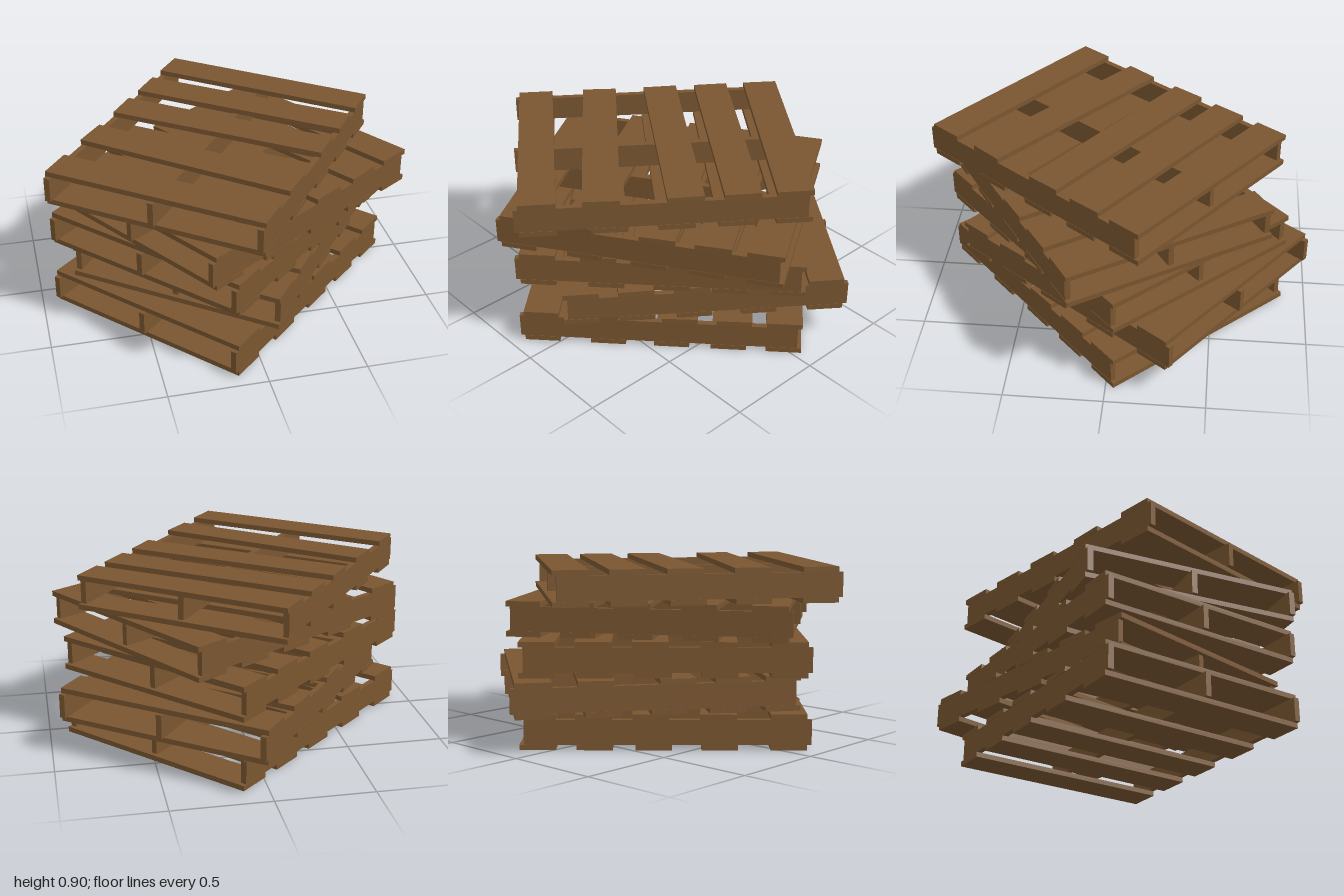
import * as THREE from 'three';

const wood = new THREE.MeshStandardMaterial({ color: 0x7a5630, flatShading: true });

const PLANK_L = 1.144, DEPTH = 1.418, PLANK_W = 0.18, PLANK_T = 0.027;
const HEIGHT = 0.1795, STRINGER_T = 0.03;

// Start of each plank from the front edge, as a fraction of the depth, at its left and right ends
const topPlanks = [[0, 0], [0.215, 0.245], [0.5, 0.48], [0.694, 0.678], [0.873, 0.873]];
const bottomPlanks = [[0, 0], [0.24, 0.24], [0.47, 0.47], [0.675, 0.675], [0.873, 0.873]];

function addBox(parent, name, w, h, d, x, y, z, turn = 0) {
  const mesh = new THREE.Mesh(new THREE.BoxGeometry(w, h, d), wood);
  mesh.name = name;
  mesh.position.set(x, y, z);
  mesh.rotation.y = turn;
  parent.add(mesh);
}

function addDeck(parent, name, planks, y) {
  for (const [a, b] of planks) {
    const z = DEPTH / 2 - (DEPTH * (a + b)) / 2 - PLANK_W / 2;
    // slight skew of loosely nailed planks
    const turn = Math.atan2(DEPTH * (a - b), PLANK_L);
    addBox(parent, name, PLANK_L, PLANK_T, PLANK_W, 0, y, z, turn);
  }
}

function makePallet() {
  const pallet = new THREE.Group();
  addDeck(pallet, 'bottomPlank', bottomPlanks, PLANK_T / 2);
  addDeck(pallet, 'topPlank', topPlanks, HEIGHT - PLANK_T / 2);
  // three upright runners, poking out a little at the front
  for (const side of [-1, 0, 1]) {
    addBox(pallet, 'stringer', STRINGER_T, HEIGHT - 2 * PLANK_T, DEPTH, side * 0.555, HEIGHT / 2, 0.022);
  }
  return pallet;
}

export function createModel() {
  const model = new THREE.Group();
  model.name = 'palletStack';
  // x, z and turn in degrees of each pallet, from the ground up
  const layers = [
    [-0.006, 0.025, 47],
    [0.057, -0.072, 217],
    [-0.006, 0.025, 47],
    [0.036, 0.078, 57],
    [-0.059, 0.072, 37],
  ];
  layers.forEach(([x, z, degrees], i) => {
    const pallet = makePallet();
    pallet.name = 'pallet' + (i + 1);
    pallet.position.set(x, i * HEIGHT, z);
    pallet.rotation.y = -THREE.MathUtils.degToRad(degrees);
    model.add(pallet);
  });
  return model;
}
